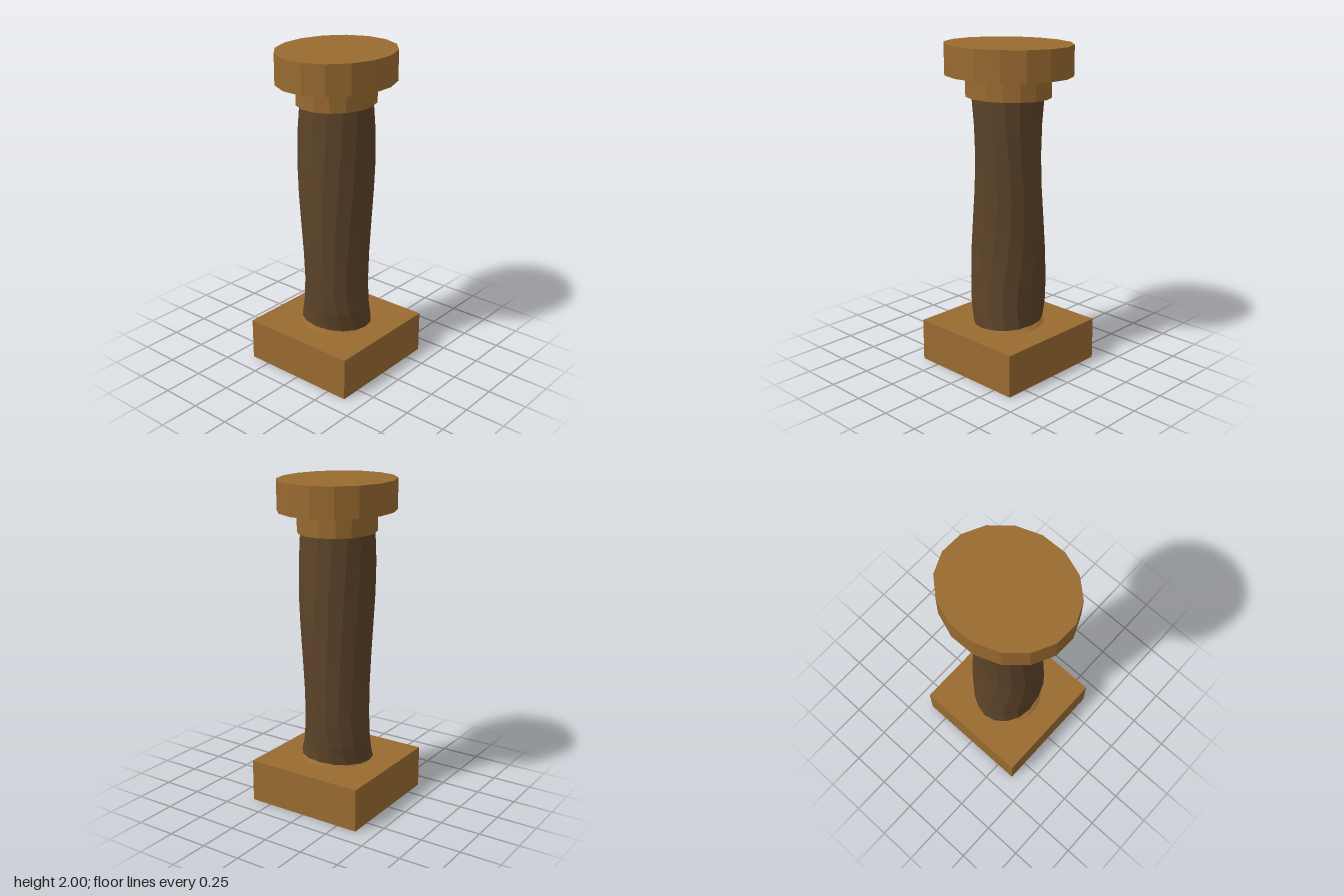
import * as THREE from 'three';

const SIDES = 16;

function material(color) {
  return new THREE.MeshStandardMaterial({ color, flatShading: true });
}

// Oval drum between two heights, its long axis turned slightly away from z
function drum(name, rx, rz, y0, y1, mat, topScale = 1) {
  const geo = new THREE.CylinderGeometry(topScale, 1, y1 - y0, SIDES);
  geo.scale(rx, 1, rz);
  geo.rotateY(Math.PI / SIDES);
  geo.translate(0, (y0 + y1) / 2, 0);
  const mesh = new THREE.Mesh(geo, mat);
  mesh.name = name;
  return mesh;
}

// Oval shaft whose cross-section makes a half turn on the way up
function twistedShaft(mat) {
  const heights = [0.28, 0.40, 0.54, 0.73, 0.93, 1.13, 1.33, 1.52, 1.69];
  const degrees = [0, 30, 55, 73, 92, 112, 135, 158, 180];
  const rows = heights.length - 1;
  const geo = new THREE.CylinderGeometry(1, 1, 1, SIDES, rows);
  const pos = geo.attributes.position;
  const p = new THREE.Vector3();
  const up = new THREE.Vector3(0, 1, 0);
  for (let i = 0; i < pos.count; i++) {
    p.fromBufferAttribute(pos, i);
    const row = Math.round((p.y + 0.5) * rows);
    p.set(p.x * 0.235, heights[row], p.z * 0.198);
    p.applyAxisAngle(up, -THREE.MathUtils.degToRad(degrees[row]));
    pos.setXYZ(i, p.x, p.y, p.z);
  }
  geo.computeVertexNormals();
  const mesh = new THREE.Mesh(geo, mat);
  mesh.name = 'shaft';
  return mesh;
}

export function createModel() {
  const group = new THREE.Group();
  group.name = 'column';
  const lightWood = material(0x996a30);
  const darkWood = material(0x5c4329);

  // Square foot
  const plinth = new THREE.Mesh(new THREE.BoxGeometry(0.76, 0.265, 0.76), lightWood);
  plinth.position.y = 0.1325;
  plinth.name = 'plinth';

  group.add(
    plinth,
    drum('baseRing', 0.225, 0.235, 0.26, 0.282, lightWood, 0.87),
    twistedShaft(darkWood),
    drum('neck', 0.234, 0.267, 1.69, 1.82, lightWood),
    drum('cap', 0.348, 0.398, 1.818, 2, lightWood)
  );
  return group;
}
